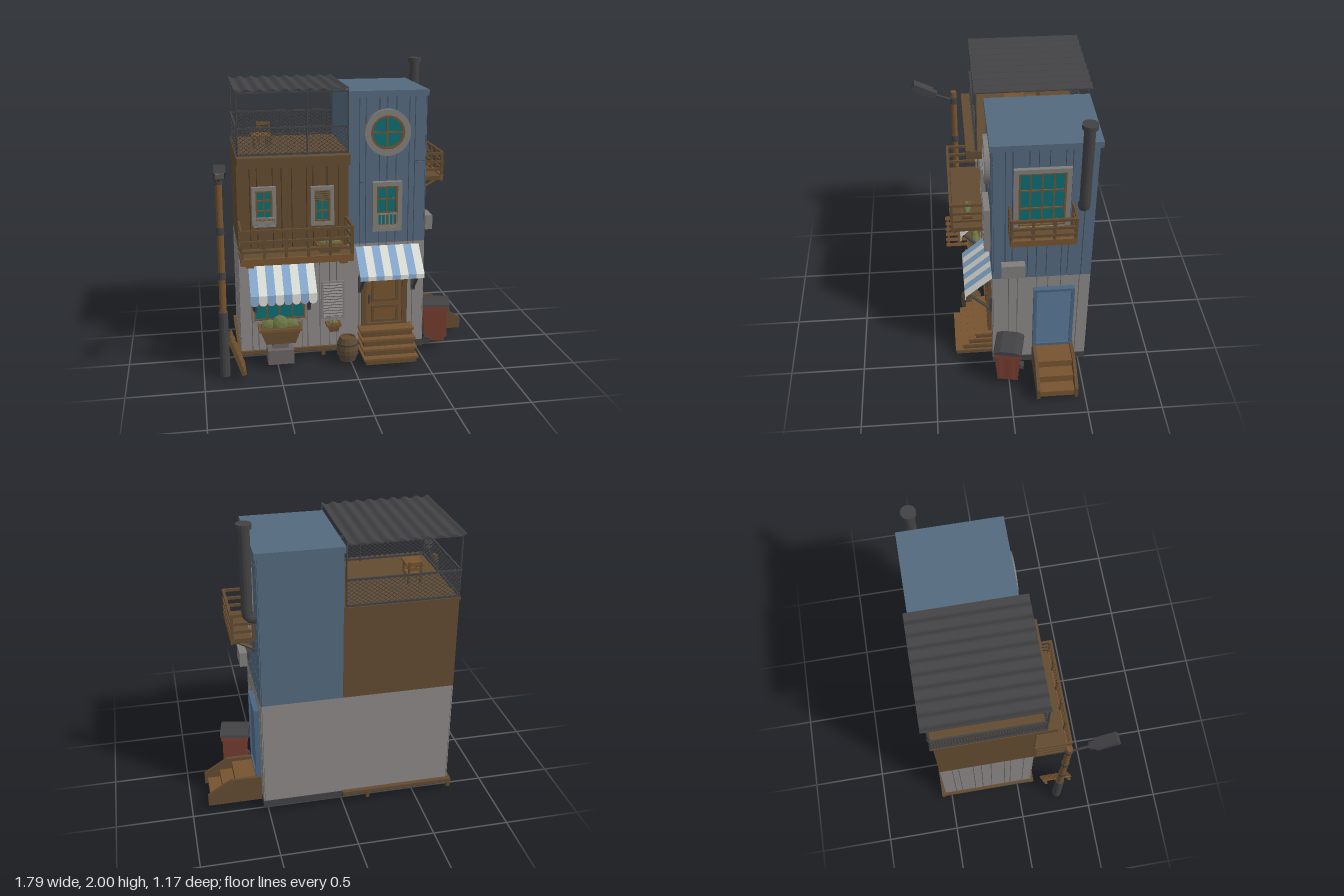
import * as THREE from 'three';
import { mergeGeometries } from 'three/addons/utils/BufferGeometryUtils.js';

const C = { blue: 0x54697e, wood: 0x624b31, grey: 0x8b8886, frame: 0x807e7b, dark: 0x424244, glass: 0x0b6d73,
  trim: 0x75532f, white: 0xdadcd6, sky: 0x85a8cc, red: 0x7b4032, green: 0x6a7344, stone: 0x6b6262, shutter: 0x4a6580 };
const mats = {};
const mat = (c) => (mats[c] ??= new THREE.MeshStandardMaterial({ color: c, flatShading: true, side: THREE.DoubleSide }));
const shade = (c, f) => new THREE.Color(c).multiplyScalar(f).getHex();
function mesh(p, name, geo, c, x = 0, y = 0, z = 0) {
  const m = new THREE.Mesh(geo, mat(c));
  m.name = name; m.position.set(x, y, z); p.add(m);
  return m;
}
function group(p, name, x = 0, y = 0, z = 0, ry = 0) {
  const g = new THREE.Group();
  g.name = name; g.position.set(x, y, z); g.rotation.y = ry; p.add(g);
  return g;
}
// box from min / max limits
const box = (p, name, c, x0, x1, y0, y1, z0, z1) => mesh(p, name, new THREE.BoxGeometry(x1 - x0, y1 - y0, z1 - z0), c,
  (x0 + x1) / 2, (y0 + y1) / 2, (z0 + z1) / 2);
const cyl = (p, name, c, r0, r1, y0, y1, x, z, n = 12) =>
  mesh(p, name, new THREE.CylinderGeometry(r1, r0, y1 - y0, n), c, x, (y0 + y1) / 2, z);
// rod geometry between two points
function rod(a, b, r, n = 4) {
  const A = new THREE.Vector3(...a), B = new THREE.Vector3(...b), d = B.clone().sub(A);
  const q = new THREE.Quaternion().setFromUnitVectors(new THREE.Vector3(0, 1, 0), d.clone().normalize());
  const m = A.add(B).multiplyScalar(0.5);
  return new THREE.CylinderGeometry(r, r, d.length(), n).applyQuaternion(q).translate(m.x, m.y, m.z);
}
// profile of [z, y] points extruded along x
function prism(p, name, c, pts, x0, x1) {
  const geo = new THREE.ExtrudeGeometry(new THREE.Shape(pts.map((q) => new THREE.Vector2(...q))), { depth: x1 - x0, bevelEnabled: false });
  return mesh(p, name, geo.rotateY(-Math.PI / 2), c, x1, 0, 0);
}
// rectangular border facing +z
function border(p, name, c, x0, x1, y0, y1, t, z, d) {
  const rect = (S, i) => new S([[x0 + i, y0 + i], [x1 - i, y0 + i], [x1 - i, y1 - i], [x0 + i, y1 - i]].map((q) => new THREE.Vector2(...q)));
  const s = rect(THREE.Shape, 0);
  s.holes.push(rect(THREE.Path, t));
  return mesh(p, name, new THREE.ExtrudeGeometry(s, { depth: d, bevelEnabled: false }), c, 0, 0, z);
}
// vertical cladding of uneven boards over a dark backing, facing +z
function cladding(p, name, c, x0, x1, y0, y1, n, z, joints = false) {
  const g = group(p, name);
  box(g, 'seams', shade(c, 0.45), x0, x1, y0, y1, z - 0.008, z - 0.005);
  const w = (x1 - x0) / n, edge = (i) => x0 + w * (i + (i > 0 && i < n ? 0.22 * Math.sin(i * 2.4) : 0));
  for (let i = 0; i < n; i++) {
    const a = edge(i) + (i ? 0.0025 : 0), b = edge(i + 1) - (i < n - 1 ? 0.0025 : 0);
    const cut = joints && i % 2 ? y0 + (y1 - y0) * (0.2 + 0.6 * ((i * 0.37) % 1)) : y1;
    box(g, 'board', c, a, b, y0, cut, z - 0.006, z);
    if (cut < y1) box(g, 'board', c, a, b, cut + 0.006, y1, z - 0.006, z);
  }
}
function windowUnit(p, name, x0, x1, y0, y1, z, cols, rows, t = 0.025, d = 0.03) {
  const g = group(p, name);
  border(g, 'surround', C.frame, x0, x1, y0, y1, t, z, d);
  const [a, b, e, f] = [x0 + t, x1 - t, y0 + t, y1 - t];
  box(g, 'glass', C.glass, a, b, e, f, z, z + 0.006);
  border(g, 'sash', C.trim, a, b, e, f, 0.012, z, d * 0.7);
  for (let i = 1; i < cols; i++) { const x = a + (b - a) * i / cols; box(g, 'muntin', C.trim, x - 0.005, x + 0.005, e, f, z, z + 0.014); }
  for (let i = 1; i < rows; i++) { const y = e + (f - e) * i / rows; box(g, 'muntin', C.trim, a, b, y - 0.005, y + 0.005, z, z + 0.014); }
  return g;
}
function windowGuard(p, x0, x1, y0, y1, z) {
  const g = group(p, 'windowGuard');
  for (const y of [y0, y1]) box(g, 'rail', C.frame, x0, x1, y - 0.005, y + 0.005, z - 0.005, z + 0.005);
  for (let i = 0; i <= 5; i++) { const x = x0 + 0.004 + (x1 - x0 - 0.008) * i / 5; box(g, 'baluster', C.frame, x - 0.004, x + 0.004, y0, y1, z - 0.004, z + 0.004); }
}
function louvers(p, c, x0, x1, y0, y1, z, n) {
  for (let i = 0; i < n; i++) {
    const s = mesh(p, 'slat', new THREE.BoxGeometry(x1 - x0, (y1 - y0) / n * 0.75, 0.006), c, (x0 + x1) / 2, y0 + (y1 - y0) * (i + 0.5) / n, z);
    s.rotation.x = -0.5;
  }
}
// striped sloping awning with valance and struts
function awning(p, name, x0, x1, yTop, yLow, drop, scallop, strutY) {
  const g = group(p, name), n = 8, w = (x1 - x0) / n;
  for (let i = 0; i < n; i++) {
    const c = i % 2 ? C.white : C.sky, a = x0 + i * w;
    prism(g, 'stripe', c, [[0.1, yTop], [0.28, yLow], [0.28, yLow - drop], [0.274, yLow - drop], [0.274, yLow - 0.006], [0.1, yTop - 0.012]], a, a + w);
    if (scallop) mesh(g, 'scallop', new THREE.CircleGeometry(w / 2, 10, Math.PI, Math.PI), c, a + w / 2, yLow - drop, 0.278);
  }
  for (const x of [x0 + 0.015, x1 - 0.055]) {
    mesh(g, 'strut', rod([x + 0.02, strutY, 0.115], [x + 0.02, yLow, 0.265], 0.012), C.dark);
    box(g, 'strutPlate', C.dark, x + 0.005, x + 0.035, strutY - 0.02, strutY + 0.1, 0.1, 0.115);
  }
}
// balcony projecting to +z, floor top at y
function balcony(p, name, x0, x1, y, h, z0, z1, posts) {
  const g = group(p, name), t = 0.018;
  box(g, 'floor', C.wood, x0, x1, y - 0.03, y, z0, z1);
  box(g, 'fascia', C.trim, x0, x1, y - 0.035, y + 0.01, z1 - t, z1 + 0.002);
  for (let i = 0; i < posts; i++) { const x = x0 + (x1 - x0 - t) * i / (posts - 1); box(g, 'post', C.wood, x, x + t, y - 0.02, y + h, z1 - t, z1); }
  for (const k of [0.33, 0.65, 1]) {
    const a = y + h * k - t, b = y + h * k;
    box(g, 'frontRail', C.wood, x0, x1, a, b, z1 - 0.012, z1 + 0.004);
    for (const x of [x0, x1 - 0.014]) box(g, 'sideRail', C.wood, x, x + 0.014, a, b, z0, z1);
  }
  for (const x of [x0, x1 - t]) box(g, 'wallPost', C.wood, x, x + t, y, y + h, z0, z0 + t);
}
function bush(p, x, y, z, w, h, d) {
  for (const [dx, s] of [[0, 1], [-0.3, 0.65], [0.3, 0.65]])
    mesh(p, 'foliage', new THREE.IcosahedronGeometry(0.5, 1), C.green, x + dx * w, y, z).scale.set(w * 0.55, h * 2 * s, d * s);
}
function planter(p, name, x, z, y0, y1, w0, w1, d) {
  const geo = new THREE.BoxGeometry(1, y1 - y0, d), v = geo.attributes.position;
  for (let i = 0; i < v.count; i++) v.setX(i, v.getX(i) * (v.getY(i) > 0 ? w1 : w0));
  const g = group(p, name);
  mesh(g, 'tub', geo, C.wood, x, (y0 + y1) / 2, z);
  box(g, 'rim', C.trim, x - w1 / 2 - 0.006, x + w1 / 2 + 0.006, y1 - 0.018, y1, z - d / 2, z + d / 2 + 0.006);
  return g;
}
// diamond mesh panel, lower corner at the group's origin
function meshFence(p, L, H, x, y, z, ry) {
  const g = group(p, 'meshFence', x, y, z, ry), k = 0.7, run = H / k, rods = [];
  for (let c = -run; c < L; c += 0.036) {
    const a = Math.max(c, 0), b = Math.min(c + run, L);
    if (b - a < 0.005) continue;
    for (const f of [(s) => s, (s) => H - s]) rods.push(rod([a, f((a - c) * k), 0], [b, f((b - c) * k), 0], 0.0022, 3));
  }
  mesh(g, 'wire', mergeGeometries(rods), C.dark);
  for (const h of [0, H]) box(g, 'rail', C.dark, 0, L, h - 0.006, h + 0.006, -0.006, 0.006);
}

function tower(root) {
  const g = group(root, 'tower');
  box(g, 'foundation', C.dark, 0, 0.532, 0.03, 0.08, -0.542, 0.102);
  box(g, 'lowerWall', C.grey, 0, 0.522, 0.08, 0.81, -0.54, 0.092);
  box(g, 'upperWall', C.blue, 0, 0.522, 0.81, 1.82, -0.54, 0.092);
  box(g, 'roofCap', C.blue, -0.008, 0.54, 1.805, 1.845, -0.56, 0.112);
  cladding(g, 'frontLowerBoards', C.grey, 0, 0.53, 0.08, 0.81, 8, 0.1);
  cladding(g, 'frontUpperBoards', C.blue, 0, 0.53, 0.81, 1.81, 8, 0.1, true);
  // round window
  const r = group(g, 'roundWindow', 0.26, 1.57, 0.1);
  const ring = (name, c, ro, ri, d) => {
    const s = new THREE.Shape().absarc(0, 0, ro, 0, Math.PI * 2);
    s.holes.push(new THREE.Path().absarc(0, 0, ri, 0, Math.PI * 2));
    mesh(r, name, new THREE.ExtrudeGeometry(s, { depth: d, bevelEnabled: false, curveSegments: 20 }), c);
  };
  ring('surround', C.frame, 0.155, 0.115, 0.034);
  ring('sash', C.trim, 0.116, 0.1, 0.022);
  mesh(r, 'glass', new THREE.CircleGeometry(0.112, 32), C.glass, 0, 0, 0.006);
  box(r, 'muntin', C.trim, -0.006, 0.006, -0.11, 0.11, 0, 0.015);
  box(r, 'muntin', C.trim, -0.11, 0.11, -0.006, 0.006, 0, 0.015);
  windowUnit(g, 'frontWindow', 0.16, 0.36, 0.9, 1.24, 0.1, 2, 3, 0.028, 0.04);
  windowGuard(g, 0.19, 0.33, 0.935, 1.02, 0.135);
  // entrance
  const d = group(g, 'frontDoor');
  border(d, 'doorFrame', C.wood, 0.09, 0.41, 0.2, 0.68, 0.035, 0.1, 0.025);
  box(d, 'doorLeaf', C.trim, 0.12, 0.38, 0.22, 0.66, 0.1, 0.108);
  border(d, 'lowerPanel', C.wood, 0.16, 0.35, 0.24, 0.36, 0.018, 0.106, 0.012);
  border(d, 'upperPanel', C.wood, 0.16, 0.35, 0.39, 0.64, 0.018, 0.106, 0.012);
  box(d, 'handle', C.dark, 0.138, 0.15, 0.38, 0.44, 0.108, 0.125);
  awning(g, 'doorAwning', 0.05, 0.49, 0.79, 0.63, 0.03, false, 0.48);
  for (let i = 0; i < 4; i++) {
    const y = 0.22 - i * 0.05, z = 0.22 + i * 0.045;
    box(g, 'frontStep', C.wood, 0.08, 0.43, 0.025, y - 0.015, 0.1, z - 0.008);
    box(g, 'frontTread', C.trim, 0.065, 0.44, y - 0.015, y, 0.1, z);
  }
  // side wall: local x runs toward the back
  const s = group(g, 'sideWall', 0.53, 0, 0, Math.PI / 2);
  cladding(s, 'sideLowerBoards', C.grey, -0.1, 0.54, 0.08, 0.81, 7, 0);
  cladding(s, 'sideUpperBoards', C.blue, -0.1, 0.54, 0.81, 1.81, 9, 0, true);
  windowUnit(s, 'sideWindow', 0.03, 0.38, 1.22, 1.68, 0, 4, 3, 0.03, 0.025);
  balcony(s, 'sideBalcony', 0, 0.41, 1.235, 0.165, 0, 0.15, 4);
  for (const x of [0.035, 0.375]) {
    mesh(s, 'bracket', rod([x, 1.14, 0.005], [x, 1.21, 0.13], 0.012), C.wood);
    box(s, 'bracketPlate', C.dark, x - 0.01, x + 0.01, 1.12, 1.21, 0, 0.015);
  }
  const ac = group(s, 'ventBox');
  box(ac, 'casing', C.frame, -0.045, 0.105, 0.87, 0.97, 0.02, 0.07);
  box(ac, 'mount', C.dark, 0, 0.06, 0.89, 0.95, 0, 0.02);
  const sh = group(s, 'shutterDoor');
  border(sh, 'shutterFrame', C.shutter, 0.17, 0.44, 0.2, 0.72, 0.022, 0, 0.034);
  box(sh, 'shutterBack', shade(C.shutter, 0.5), 0.18, 0.43, 0.21, 0.71, 0, 0.008);
  louvers(sh, C.shutter, 0.19, 0.42, 0.22, 0.7, 0.018, 18);
  // side steps between sloping cheeks
  for (const x of [0.17, 0.425])
    prism(s, 'stepCheek', C.wood, [[0, 0.03], [0.36, 0.03], [0.36, 0.11], [0.2, 0.21], [0, 0.21]], x, x + 0.022);
  for (let i = 0; i < 3; i++) box(s, 'sideStep', C.trim, 0.19, 0.43, 0.03, 0.185 - i * 0.055, 0, 0.17 + i * 0.085);
  // flue with elbow into the wall
  const path = new THREE.CatmullRomCurve3([[0.5, 1.395], [0.545, 1.395], [0.572, 1.405], [0.58, 1.44], [0.58, 1.6], [0.58, 1.98]]
    .map(([x, y]) => new THREE.Vector3(x, y, -0.46)));
  mesh(g, 'flue', new THREE.TubeGeometry(path, 32, 0.035, 14), C.dark);
  cyl(g, 'flueCap', C.dark, 0.048, 0.048, 1.97, 2, 0.58, -0.46, 16);
}

function house(root) {
  const g = group(root, 'house');
  box(g, 'lowerWall', C.grey, -0.732, 0, 0.085, 0.81, -0.54, 0.092);
  box(g, 'upperWall', C.wood, -0.74, 0, 0.81, 1.44, -0.54, 0.092);
  cladding(g, 'frontLowerBoards', C.grey, -0.74, 0, 0.085, 0.81, 11, 0.1);
  cladding(g, 'frontUpperBoards', C.wood, -0.74, 0, 0.81, 1.39, 10, 0.1);
  cladding(group(g, 'leftWall', -0.74, 0, 0, -Math.PI / 2), 'leftBoards', C.grey, -0.54, 0.1, 0.085, 0.81, 9, 0);
  box(g, 'cornice', C.wood, -0.74, -0.008, 1.385, 1.45, 0.09, 0.23);
  box(g, 'roofDeck', C.wood, -0.742, 0, 1.435, 1.45, -0.56, 0.2);
  // base frame on short legs
  for (const [x0, x1, z0, z1] of [[-0.76, 0, 0.09, 0.12], [-0.76, 0, -0.57, -0.54], [-0.76, -0.73, -0.57, 0.12]])
    box(g, 'baseRail', C.wood, x0, x1, 0.06, 0.085, z0, z1);
  for (const x of [-0.745, -0.175]) for (const z of [0.105, -0.555]) box(g, 'baseLeg', C.wood, x - 0.012, x + 0.012, 0.02, 0.07, z - 0.012, z + 0.012);
  // windows
  windowUnit(g, 'leftWindow', -0.645, -0.485, 0.98, 1.235, 0.1, 2, 3);
  windowGuard(g, -0.64, -0.49, 0.975, 1.03, 0.14);
  const w = windowUnit(g, 'rightWindow', -0.255, -0.1, 0.96, 1.225, 0.1, 2, 3);
  louvers(w, C.wood, -0.23, -0.125, 1.13, 1.2, 0.12, 5);
  windowUnit(g, 'shopWindow', -0.66, -0.29, 0.29, 0.64, 0.1, 4, 3, 0.012, 0.02);
  awning(g, 'shopAwning', -0.68, -0.24, 0.72, 0.54, 0.045, true, 0.38);
  balcony(g, 'frontBalcony', -0.74, -0.008, 0.81, 0.2, 0.1, 0.35, 6);
  for (const x of [-0.68, -0.07]) box(g, 'balconyBeam', C.trim, x - 0.025, x + 0.025, 0.757, 0.782, 0.1, 0.34);
  bush(planter(g, 'balconyPlanter', -0.15, 0.23, 0.81, 0.87, 0.13, 0.16, 0.07), -0.15, 0.87, 0.23, 0.13, 0.04, 0.06);
  // wall vent
  border(g, 'ventFrame', C.frame, -0.185, -0.03, 0.285, 0.555, 0.012, 0.1, 0.016);
  box(g, 'ventBack', C.dark, -0.18, -0.035, 0.29, 0.55, 0.098, 0.103);
  louvers(g, C.grey, -0.175, -0.04, 0.3, 0.545, 0.109, 12);
  // plants, block and barrel
  bush(planter(g, 'windowPlanter', -0.48, 0.16, 0.17, 0.275, 0.2, 0.28, 0.12), -0.48, 0.275, 0.16, 0.23, 0.08, 0.09);
  box(g, 'stoneBlock', C.stone, -0.57, -0.395, 0.03, 0.13, 0.1, 0.24);
  box(g, 'stoneSupport', C.stone, -0.535, -0.43, 0.12, 0.18, 0.1, 0.2);
  bush(planter(g, 'smallPlanter', -0.11, 0.135, 0.21, 0.265, 0.06, 0.09, 0.07), -0.11, 0.265, 0.135, 0.06, 0.02, 0.05);
  const prof = [[0, 0.025], [0.055, 0.025], [0.07, 0.07], [0.075, 0.107], [0.07, 0.145], [0.055, 0.19], [0.045, 0.19], [0.045, 0.18], [0, 0.18]];
  const b = group(g, 'barrel', -0.025, 0, 0.22);
  mesh(b, 'staves', new THREE.LatheGeometry(prof.map((q) => new THREE.Vector2(...q)), 14), C.wood);
  for (const y of [0.07, 0.145]) cyl(b, 'hoop', C.dark, 0.073, 0.073, y - 0.006, y + 0.006, 0, 0, 14);
  // roof terrace
  const t = group(g, 'terrace');
  for (const [x, z] of [[-0.73, 0.16], [-0.28, 0.16], [-0.012, 0.16], [-0.73, -0.55], [-0.012, -0.55]])
    cyl(t, 'canopyPost', C.dark, 0.006, 0.006, 1.45, 1.87, x, z, 6);
  meshFence(t, 0.72, 0.17, -0.73, 1.46, 0.165, 0);
  meshFence(t, 0.72, 0.17, -0.73, 1.46, -0.555, 0);
  meshFence(t, 0.72, 0.17, -0.732, 1.46, 0.165, Math.PI / 2);
  const wave = (o) => Array.from({ length: 73 }, (_, i) => new THREE.Vector2(-0.742 + i * 0.732 / 72, 1.869 + o + 0.008 * Math.cos(i / 72 * Math.PI * 18)));
  mesh(t, 'corrugatedCanopy', new THREE.ExtrudeGeometry(new THREE.Shape([...wave(-0.003), ...wave(0.003).reverse()]),
    { depth: 0.755, bevelEnabled: false }), C.dark, 0, 0, -0.585);
  for (const z of [0.16, -0.55]) box(t, 'canopyBeam', C.dark, -0.735, -0.01, 1.85, 1.86, z - 0.005, z + 0.005);
  const legs = (n, x, z, s, y) => { for (const i of [-s, s]) for (const j of [-s, s]) box(t, n, C.wood, x + i - 0.006, x + i + 0.006, 1.45, y, z + j - 0.006, z + j + 0.006); };
  box(t, 'tableTop', C.trim, -0.62, -0.5, 1.53, 1.542, -0.2, -0.06);
  legs('tableLeg', -0.56, -0.13, 0.045, 1.53);
  box(t, 'chairSeat', C.trim, -0.57, -0.475, 1.51, 1.52, -0.3, -0.21);
  legs('chairLeg', -0.522, -0.255, 0.04, 1.51);
  for (const x of [-0.565, -0.49]) box(t, 'chairUpright', C.wood, x, x + 0.012, 1.51, 1.6, -0.305, -0.293);
  for (const y of [1.55, 1.585]) box(t, 'chairBackSlat', C.trim, -0.57, -0.475, y - 0.01, y + 0.012, -0.303, -0.295);
}

function streetThings(root) {
  // street lamp
  const l = group(root, 'streetLamp', -0.86, 0, 0.28);
  cyl(l, 'lampBase', C.dark, 0.033, 0.03, 0, 0.45, 0, 0);
  cyl(l, 'lampPole', C.trim, 0.023, 0.021, 0.45, 1.4, 0, 0);
  for (const y of [0.7, 1, 1.33]) cyl(l, 'poleBand', C.dark, 0.026, 0.026, y - 0.025, y + 0.025, 0, 0);
  mesh(l, 'lampArm', rod([0, 1.33, 0.01], [0, 1.385, 0.15], 0.009, 8), C.dark);
  const h = group(l, 'lampHead', 0, 1.425, 0.212);
  h.rotation.x = -0.47;
  box(h, 'housing', C.dark, -0.036, 0.036, -0.025, 0.027, -0.06, 0.092);
  box(h, 'collar', C.dark, -0.022, 0.022, -0.02, 0.02, -0.095, -0.06);
  box(h, 'lens', C.frame, -0.028, 0.028, -0.029, -0.024, -0.045, 0.08);
  // pallet leaning on the lamp
  const p = group(root, 'pallet', -0.742, 0.03, 0.28);
  p.rotation.z = 0.33;
  for (const z of [-0.085, 0, 0.085]) box(p, 'palletBeam', C.wood, -0.012, 0.012, 0, 0.255, z - 0.01, z + 0.01);
  for (let i = 0; i < 6; i++) box(p, 'palletSlat', C.trim, 0.01, 0.02, 0.005 + i * 0.045, 0.03 + i * 0.045, -0.105, 0.105);
  // wheeled bin
  const b = group(root, 'wheeledBin', 0.645, 0.03, 0, -0.2);
  const geo = new THREE.CylinderGeometry(0.122, 0.098, 0.26, 4).rotateY(Math.PI / 4);
  mesh(b, 'body', geo, C.red, 0, 0.145, 0);
  box(b, 'rim', C.red, -0.092, 0.092, 0.25, 0.28, -0.092, 0.092);
  for (const z of [-0.04, 0.04]) box(b, 'rib', C.red, 0.07, 0.088, 0.04, 0.25, z - 0.01, z + 0.01);
  prism(b, 'lid', C.dark, [[-0.095, 0.28], [0.095, 0.28], [0.09, 0.295], [0.05, 0.312], [-0.05, 0.312], [-0.09, 0.295]], -0.095, 0.1);
  mesh(b, 'handle', rod([-0.1, 0.27, -0.07], [-0.1, 0.27, 0.07], 0.01, 6), C.dark);
  for (const z of [-0.085, 0.085]) mesh(b, 'wheel', rod([-0.06, 0.027, z - 0.012], [-0.06, 0.027, z + 0.012], 0.03, 12), C.dark);
}

export function createModel() {
  const root = new THREE.Group();
  root.name = 'townHouse';
  tower(root);
  house(root);
  streetThings(root);
  return root;
}
